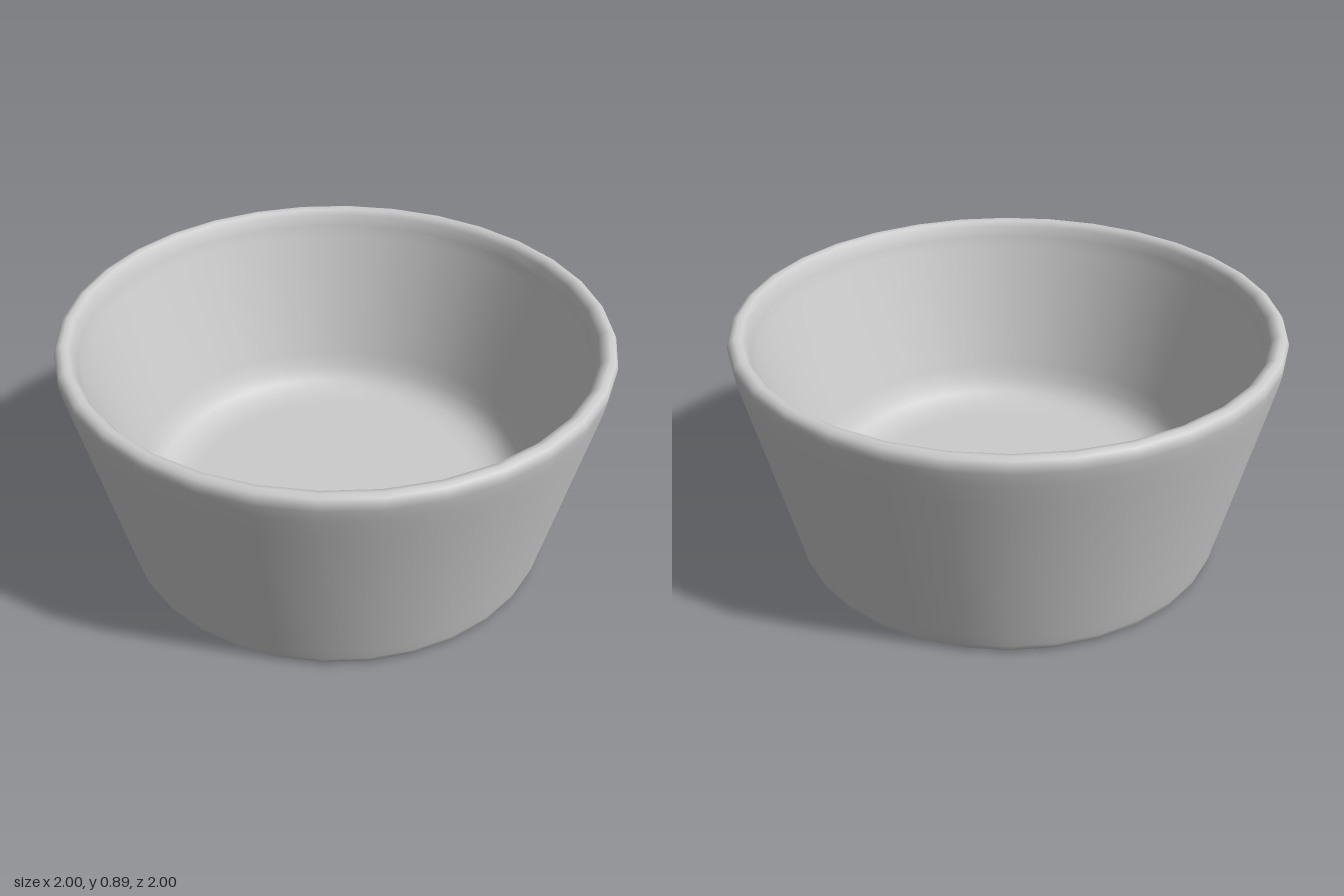
import * as THREE from 'three';

export function createModel() {
  const group = new THREE.Group();
  group.name = 'bowl';

  // Closed profile: underside, outer wall, rounded rim, inner wall, floor
  const profile = [
    [0, 0], [0.77, 0], [0.79, 0.003], [0.802, 0.012], [0.81, 0.035],
    [0.82, 0.08], [0.97, 0.71], [0.991, 0.8], [0.999, 0.845], [1, 0.868],
    [0.991, 0.887], [0.972, 0.895], [0.952, 0.89], [0.936, 0.872], [0.924, 0.83],
    [0.912, 0.785], [0.745, 0.31], [0.722, 0.252], [0.692, 0.21], [0.65, 0.186],
    [0.6, 0.176], [0.55, 0.175], [0, 0.175],
  ].map(([r, y]) => new THREE.Vector2(r, y));

  const bowl = new THREE.Mesh(
    new THREE.LatheGeometry(profile, 32),
    new THREE.MeshStandardMaterial({ color: 0xcccccc })
  );
  bowl.name = 'bowlBody';
  group.add(bowl);
  return group;
}
